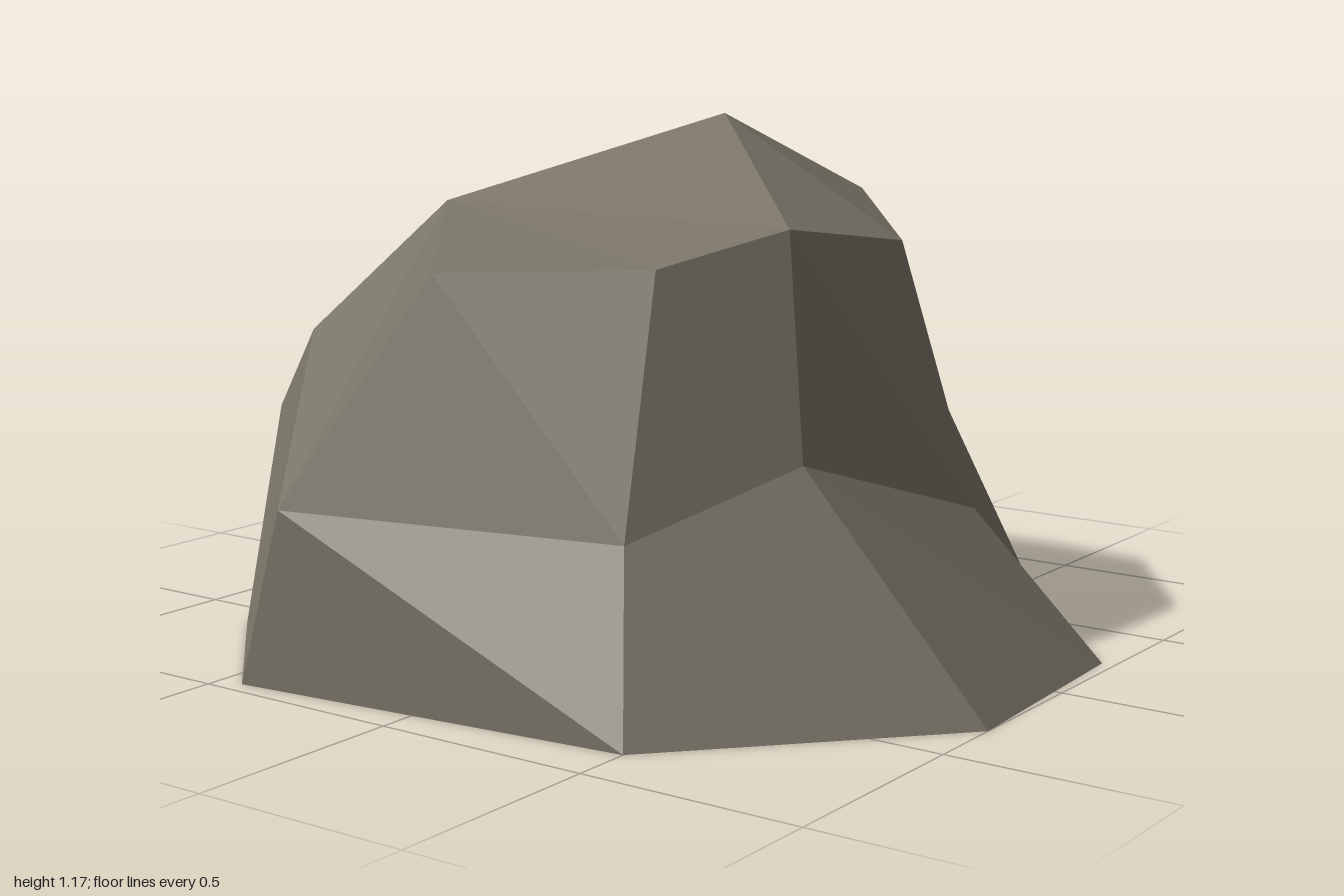
import * as THREE from 'three';

// Rings of corners around the boulder, each [x, y, z]
const base = [
  [0.96, 0, 0.1], [0.95, 0, -0.61], [0.34, 0, -1], [-0.09, 0, -1], [-0.6, 0, -0.79],
  [-0.96, 0, -0.44], [-0.865, 0, 0.5], [-0.32, 0, 1], [0.25, 0, 0.97], [0.64, 0, 0.61],
];
const waist = [
  [0.92, 0.38, 0.2], [0.88, 0.375, -0.37], [0.7, 0.45, -0.61], [0.21, 0.435, -0.91], [-0.34, 0.46, -0.92],
  [-0.46, 0.68, -0.69], [-0.95, 0.39, -0.33], [-0.7, 0.365, 0.38], [-0.34, 0.49, 0.57], [0.15, 0.33, 0.7],
];
const [P, A, B, C, D, E, F, Q] = [
  [0.14, 1.17, 0.04], [0.45, 0.985, 0.22], [0.13, 0.91, 0.52], [-0.26, 0.965, 0.48],
  [-0.51, 0.895, 0.32], [-0.73, 0.88, -0.09], [-0.31, 0.98, -0.41], [0.4, 0.555, -0.41],
];
const b = base, w = waist;

// Facets, each a polygon fanned from its first corner
const crownFacets = [
  [P, A, B, C], [F, P, C, D, E],
];
const sideFacets = [
  [A, P, Q, w[0]], [F, w[5], Q, P],
  [Q, w[0], w[1], w[2]], [Q, w[2], w[3], w[4], w[5]],
  [F, E, w[6], w[5]], [E, D, w[7], w[6]], [D, C, w[8], w[7]],
  [C, B, w[9], w[8]], [B, A, w[0], w[9]],
];
const skirtFacets = [
  [w[0], b[0], b[1], w[1]], [w[1], b[1], w[2]], [w[2], b[1], b[2], w[3]],
  [w[3], b[2], b[3], w[4]], [w[4], b[3], b[4]], [b[4], b[5], w[6], w[5], w[4]],
  [w[6], b[5], b[6]], [w[6], b[6], w[7]], [w[7], b[6], b[7], w[8]],
  [w[8], b[7], b[8], w[9]], [w[9], b[8], b[9], w[0]], [w[0], b[9], b[0]],
];

// Triangulate facets, turning every triangle away from the boulder's core
function facetGeometry(facets) {
  const core = new THREE.Vector3(0, 0.25, 0);
  const points = [];
  for (const facet of facets) {
    for (let i = 1; i < facet.length - 1; i++) {
      const [p, q, r] = [facet[0], facet[i], facet[i + 1]].map((c) => new THREE.Vector3(...c));
      const normal = q.clone().sub(p).cross(r.clone().sub(p));
      const outward = normal.dot(p.clone().sub(core)) > 0;
      points.push(...(outward ? [p, q, r] : [p, r, q]));
    }
  }
  const geometry = new THREE.BufferGeometry().setFromPoints(points);
  geometry.computeVertexNormals();
  return geometry;
}

export function createModel() {
  const stone = new THREE.MeshStandardMaterial({ color: 0x7a7568, flatShading: true, side: THREE.DoubleSide });
  stone.name = 'stone';
  const group = new THREE.Group();
  group.name = 'boulder';
  // The underside stays open
  const parts = { crown: crownFacets, sides: sideFacets, skirt: skirtFacets };
  for (const [name, facets] of Object.entries(parts)) {
    const mesh = new THREE.Mesh(facetGeometry(facets), stone);
    mesh.name = name;
    group.add(mesh);
  }
  return group;
}
